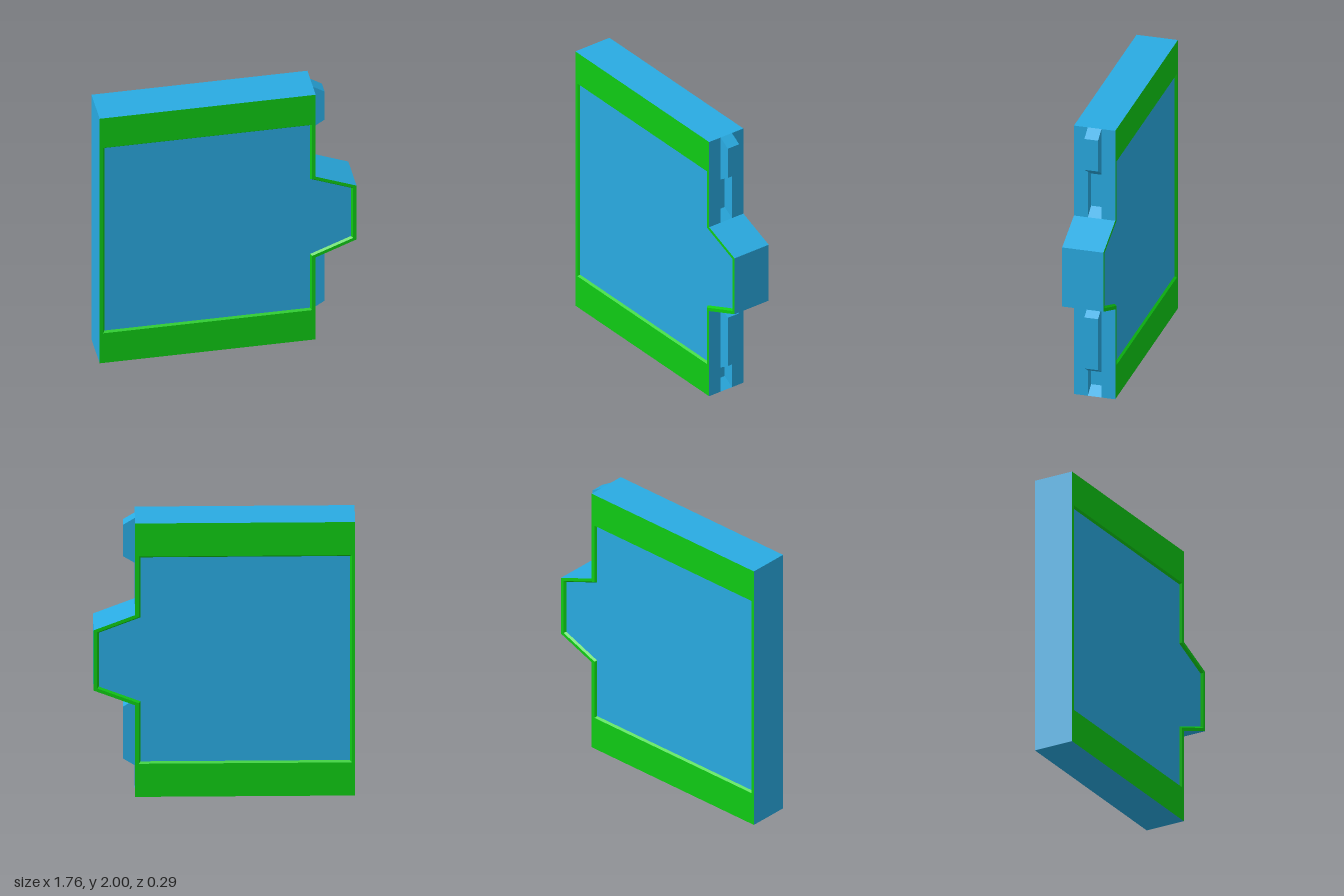
import * as THREE from 'three';

const BLUE = 0x29abe2, GREEN = 0x0fcc14;
const HALF = 0.145, FLOOR = 0.13, KEY = 0.048; // half depth, panel level, half width of the edge keys

const toShape = (pts) => new THREE.Shape(pts.map(([x, y]) => new THREE.Vector2(x, y)));

// Plate outline with a tapered lug on the +x side, symmetric about y = 1
const outline = (x0, x1, x2, h, hRoot, hTip) => [
  [x0, 1 - h], [x1, 1 - h], [x1, 1 - hRoot], [x2, 1 - hTip],
  [x2, 1 + hTip], [x1, 1 + hRoot], [x1, 1 + h], [x0, 1 + h],
];

// Strip of quads joining two matching closed loops at two depths
function band(a, za, b, zb) {
  const pos = [];
  a.forEach((p, i) => {
    const j = (i + 1) % a.length;
    const q = [[...p, za], [...a[j], za], [...b[j], zb], [...b[i], zb]];
    for (const k of [0, 1, 2, 0, 2, 3]) pos.push(...q[k]);
  });
  const g = new THREE.BufferGeometry();
  g.setAttribute('position', new THREE.Float32BufferAttribute(pos, 3));
  g.computeVertexNormals();
  return g;
}

const slab = (shape, z0, z1) =>
  new THREE.ExtrudeGeometry(shape, { depth: z1 - z0, bevelEnabled: false }).translate(0, 0, z0);

function add(parent, name, geometry, color) {
  const mesh = new THREE.Mesh(geometry, new THREE.MeshStandardMaterial({ color, flatShading: true }));
  mesh.name = name;
  parent.add(mesh);
}

// One face half: outer slab, raised rim, sloped rim wall and sunken panel
function makeHalf(name) {
  const half = new THREE.Group();
  half.name = name;
  const outer = outline(-0.88, 0.6, 0.88, 1, 0.33, 0.22);
  const rim = outline(-0.857, 0.575, 0.856, 0.758, 0.315, 0.205);
  const panel = outline(-0.845, 0.564, 0.844, 0.746, 0.307, 0.197);

  add(half, 'sideSlab', slab(toShape(outer), KEY, FLOOR), BLUE);
  add(half, 'rimSide', band(outer, FLOOR, outer, HALF), BLUE);
  const face = toShape(outer);
  face.holes.push(toShape(rim));
  add(half, 'frameFace', new THREE.ShapeGeometry(face).translate(0, 0, HALF), GREEN);
  add(half, 'rimSlope', band(rim, HALF, panel, FLOOR), GREEN);
  add(half, 'panel', new THREE.ShapeGeometry(toShape(panel)).translate(0, 0, FLOOR + 0.0005), BLUE);
  return half;
}

export function createModel() {
  const model = new THREE.Group();
  model.name = 'connectorPlate';

  // Middle layer: interlocking keys and slots cut along the +x edge
  const core = toShape([
    [-0.88, 0], [0.6, 0],
    [0.52, 0.05], [0.52, 0.19], [0.6, 0.19],               // lower slot
    [0.68, 0.24], [0.68, 0.62], [0.6, 0.67],               // lower key
    [0.88, 0.78], [0.88, 1.22], [0.6, 1.33],               // lug
    [0.52, 1.38], [0.52, 1.62], [0.6, 1.67],               // upper slot
    [0.68, 1.72], [0.68, 1.95], [0.6, 2], [-0.88, 2],      // upper key
  ]);
  add(model, 'keyedCore', slab(core, -KEY, KEY), BLUE);

  model.add(makeHalf('frontHalf'));
  // The outline is symmetric in y, so the back is the front turned over
  const back = makeHalf('backHalf');
  back.rotation.x = Math.PI;
  back.position.y = 2;
  model.add(back);
  return model;
}
